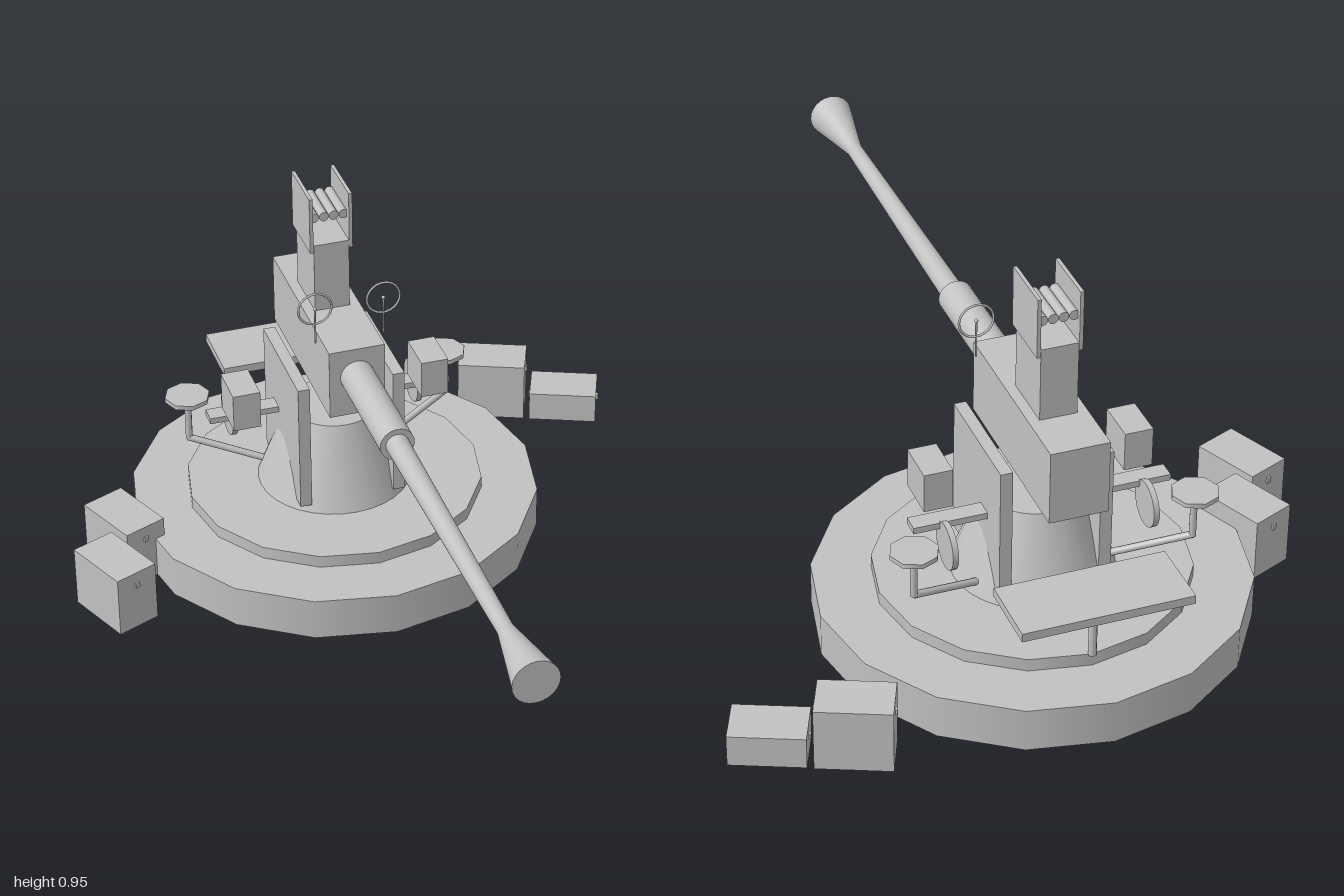
import * as THREE from 'three';

export function createModel() {
  const model = new THREE.Group();
  model.name = 'deckGun';
  const grey = new THREE.MeshStandardMaterial({ color: 0xc2c2c2 });
  grey.name = 'plain grey';

  // The mount is offset from the origin; everything on it is placed from its axis.
  const mount = new THREE.Group();
  mount.name = 'gunMount';
  mount.position.set(-0.0625, 0, -0.48);
  model.add(mount);

  const add = (parent, name, geometry, x = 0, y = 0, z = 0) => {
    const mesh = new THREE.Mesh(geometry, grey);
    mesh.name = name;
    mesh.position.set(x, y, z);
    parent.add(mesh);
    return mesh;
  };
  const box = (parent, name, w, h, d, x, y, z) =>
    add(parent, name, new THREE.BoxGeometry(w, h, d), x, y, z);
  const disc = (parent, name, rTop, rBottom, y0, y1, sides, x = 0, z = 0) =>
    add(parent, name, new THREE.CylinderGeometry(rTop, rBottom, y1 - y0, sides), x, (y0 + y1) / 2, z);
  const alongZ = (name, rFront, rBack, z0, z1, x, y, sides = 24) => {
    const g = new THREE.CylinderGeometry(rFront, rBack, z1 - z0, sides).rotateX(Math.PI / 2);
    return add(mount, name, g, x, y, (z0 + z1) / 2);
  };
  const rod = (name, a, b, r) => {
    const path = new THREE.LineCurve3(new THREE.Vector3(...a), new THREE.Vector3(...b));
    return add(mount, name, new THREE.TubeGeometry(path, 1, r, 8));
  };

  // Base, turntable and pedestal
  disc(mount, 'base', 0.52, 0.52, 0, 0.11, 16);
  disc(mount, 'turntable', 0.377, 0.377, 0.11, 0.142, 16);
  disc(mount, 'pedestal', 0.112, 0.195, 0.142, 0.353, 32);

  // Receiver and barrel
  box(mount, 'receiver', 0.142, 0.185, 0.485, 0, 0.5425, -0.033);
  alongZ('barrelSleeve', 0.043, 0.043, 0.2, 0.525, 0, 0.558);
  alongZ('barrel', 0.02, 0.029, 0.52, 1.285, 0, 0.558);
  alongZ('muzzle', 0.056, 0.02, 1.285, 1.48, 0, 0.558);

  // Magazine, its guide plates and the loaded rounds
  box(mount, 'magazine', 0.09, 0.19, 0.15, 0, 0.725, -0.067);
  for (const s of [-1, 1])
    box(mount, 'magazineGuide', 0.009, 0.15, 0.15, s * 0.05, 0.875, -0.067);
  for (let i = 0; i < 4; i++)
    alongZ('round', 0.0125, 0.0125, -0.13, -0.01, (i - 1.5) * 0.025, 0.886, 10);

  // Rear platform on its post
  box(mount, 'rearPlatform', 0.412, 0.022, 0.177, 0, 0.305, -0.378);
  disc(mount, 'platformPost', 0.01, 0.01, 0.14, 0.3, 10, 0, -0.375);

  // Mirrored crew stations
  for (const s of [-1, 1]) {
    box(mount, 'cradlePlate', 0.03, 0.345, 0.305, s * 0.122, 0.3375, 0.0075);

    // Ring sight with stem and centre bead
    add(mount, 'sightRing', new THREE.TorusGeometry(0.042, 0.003, 6, 28), s * 0.087, 0.731, 0.15);
    rod('sightStem', [s * 0.087, 0.635, 0.15], [s * 0.087, 0.731, 0.15], 0.0025);
    add(mount, 'sightBead', new THREE.SphereGeometry(0.005, 8, 6), s * 0.087, 0.731, 0.15);

    // Control box, bracket and handwheel
    box(mount, 'controlBox', 0.07, 0.1, 0.112, s * 0.245, 0.42, 0.02);
    box(mount, 'bracket', 0.185, 0.016, 0.045, s * 0.223, 0.345, -0.043);
    const wheel = new THREE.CylinderGeometry(0.057, 0.057, 0.014, 20).rotateZ(Math.PI / 2);
    add(mount, 'handwheel', wheel, s * 0.245, 0.31, -0.097);

    // Seat on a bent arm
    disc(mount, 'seat', 0.058, 0.058, 0.342, 0.354, 8, s * 0.342, -0.145);
    rod('seatPost', [s * 0.342, 0.225, -0.142], [s * 0.342, 0.345, -0.142], 0.009);
    rod('seatArm', [s * 0.345, 0.228, -0.142], [s * 0.16, 0.17, -0.07], 0.009);
  }

  // Ammunition boxes around the base: x, z, height, turn about y
  const crates = [
    [0.495, -0.844, 0.16, -0.4],
    [0.672, -0.767, 0.08, -0.4],
    [-0.624, -0.447, 0.16, 1.97 + Math.PI],
    [-0.693, -0.267, 0.16, 1.97 + Math.PI],
  ];
  for (const [x, z, h, turn] of crates) {
    const crate = new THREE.Group();
    crate.name = 'ammunitionBox';
    crate.position.set(x, 0, z);
    crate.rotation.y = turn;
    box(crate, 'boxBody', 0.178, h, 0.115, 0, h / 2, 0);
    for (const s of [-1, 1])
      box(crate, 'boxLatch', 0.006, 0.014, 0.012, s * 0.091, h - 0.035, 0);
    model.add(crate);
  }
  return model;
}
